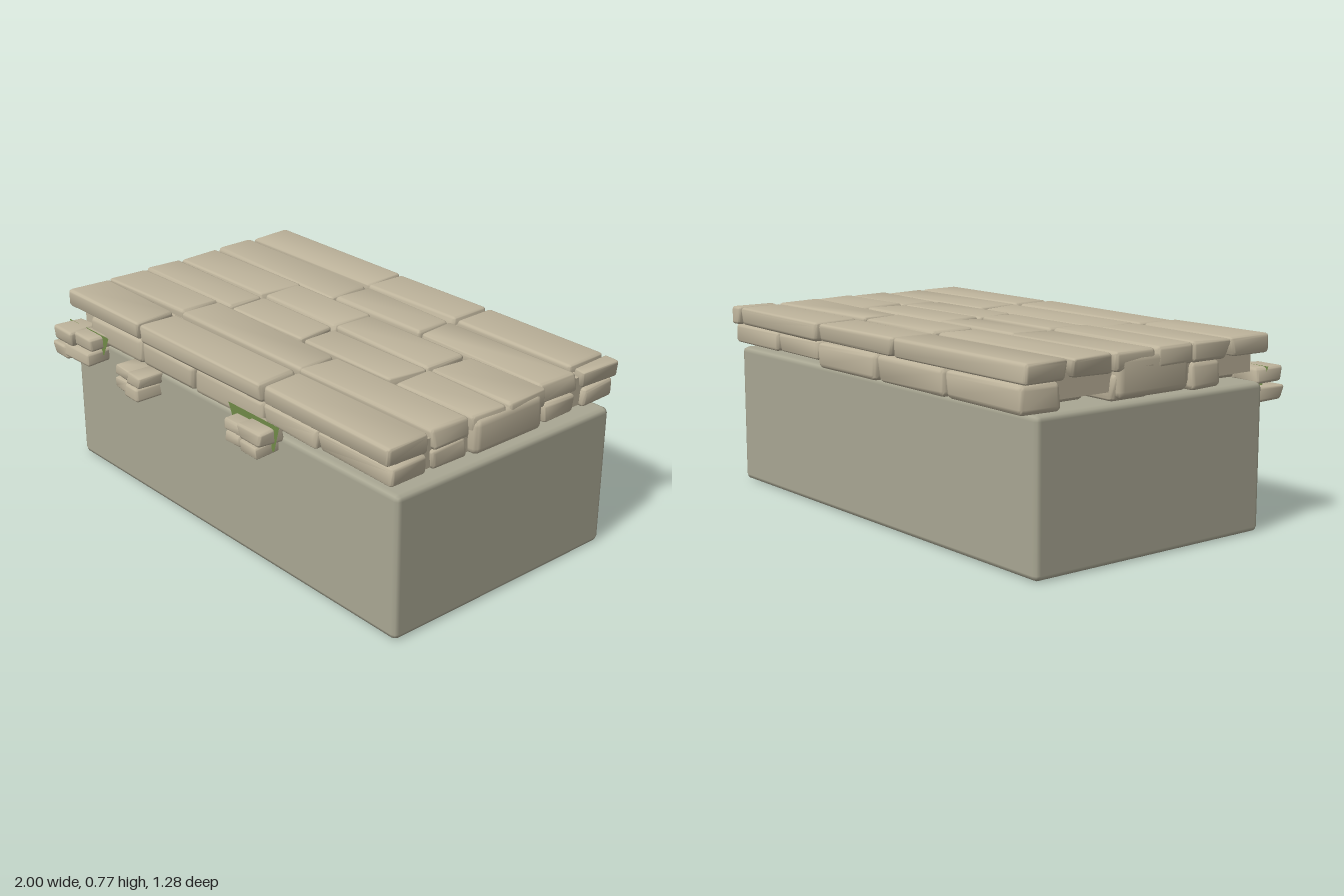
import * as THREE from 'three';
import { RoundedBoxGeometry } from 'three/addons/geometries/RoundedBoxGeometry.js';
import { mergeVertices, toCreasedNormals } from 'three/addons/utils/BufferGeometryUtils.js';

const stone = new THREE.MeshStandardMaterial({ color: 0xbdb39b });
const baseStone = new THREE.MeshStandardMaterial({ color: 0xa9a793 });
const leafGreen = new THREE.MeshStandardMaterial({ color: 0x6f8a47, side: THREE.DoubleSide });

// Small seeded generator, returning -1..1
let seed = 7;
function rnd() {
  seed = (seed * 16807) % 2147483647;
  return (seed / 2147483647) * 2 - 1;
}

// Worn stone between two corners; its eight corners are shifted a little
function brick(name, x0, x1, y0, y1, z0, z1, wear = 0.014) {
  const w = x1 - x0, h = y1 - y0, d = z1 - z0;
  let geo = new RoundedBoxGeometry(w, h, d, 2, Math.min(w, h, d) * 0.2);
  geo.deleteAttribute('uv');
  geo.deleteAttribute('normal');
  geo = mergeVertices(geo, 1e-4);
  const p = geo.attributes.position;
  const shift = Array.from({ length: 8 }, () => [rnd() * wear, rnd() * wear * 0.25, rnd() * wear * 0.8]);
  for (let i = 0; i < p.count; i++) {
    const t = [p.getX(i) / w + 0.5, p.getY(i) / h + 0.5, p.getZ(i) / d + 0.5];
    const v = [p.getX(i), p.getY(i), p.getZ(i)];
    shift.forEach((s, c) => {
      const k = [1, 2, 4].reduce((f, bit, a) => f * (c & bit ? t[a] : 1 - t[a]), 1);
      s.forEach((o, a) => { v[a] += o * k; });
    });
    p.setXYZ(i, ...v);
  }
  const mesh = new THREE.Mesh(toCreasedNormals(geo, 0.75), stone);
  mesh.position.set((x0 + x1) / 2, (y0 + y1) / 2, (z0 + z1) / 2);
  mesh.name = name;
  return mesh;
}

// Flat leaf patch in a vertical plane
function leaf(points, z) {
  const shape = new THREE.Shape(points.map(([x, y]) => new THREE.Vector2(x, y)));
  const mesh = new THREE.Mesh(new THREE.ShapeGeometry(shape), leafGreen);
  mesh.position.z = z;
  mesh.name = 'leafPatch';
  return mesh;
}

export function createModel() {
  seed = 7;
  const model = new THREE.Group();
  model.name = 'stonePlatform';

  // Bevelled foundation block
  const base = new THREE.Mesh(new RoundedBoxGeometry(1.99, 0.582, 1.105, 1, 0.022), baseStone);
  base.position.set(0, 0.291, -0.033);
  base.name = 'foundation';
  model.add(base);

  // Paving: each row is z range, then the joints of its slabs along x
  const rows = [
    [-0.64, -0.445, [-0.99, -0.21, 0.3, 0.92, 0.99]],
    [-0.42, -0.235, [-0.99, -0.19, 0.305, 0.97]],
    [-0.23, -0.035, [-0.99, -0.405, 0.045, 0.585, 0.99]],
    [-0.025, 0.145, [-0.99, -0.395, 0.05, 0.57, 0.99]],
    [0.155, 0.335, [-0.99, -0.48, 0.27, 0.98]],
    [0.355, 0.54, [-0.99, -0.485, 0.28, 0.98]],
  ];
  const paving = new THREE.Group();
  paving.name = 'pavingSlabs';
  for (const [z0, z1, xs] of rows) {
    for (let i = 0; i < xs.length - 1; i++) {
      paving.add(brick('pavingSlab', xs[i], xs[i + 1] - 0.012, 0.688, 0.764, z0, z1));
    }
  }
  model.add(paving);

  // Course below the paving, raised slightly off the base on the left
  const course = new THREE.Group();
  course.name = 'lowerCourse';
  const joints = [
    [-0.97, -0.52, -0.1, 0.31, 0.62, 0.98],
    [-0.86, -0.49, -0.145, 0.285, 0.59, 0.98],
  ];
  rows.forEach(([z0, z1], r) => {
    const xs = joints[r % 2];
    for (let i = 0; i < xs.length - 1; i++) {
      const bottom = xs[i] < 0.28 ? 0.582 : 0.61;
      course.add(brick('courseStone', xs[i], xs[i + 1] - 0.012, bottom, 0.686, z0 + 0.01, z1 - 0.01, 0.01));
    }
  });
  // Tall end stones in the middle of both short sides
  course.add(brick('endStone', 0.85, 0.99, 0.608, 0.75, -0.21, 0.14, 0.004));
  course.add(brick('endStone', -0.99, -0.85, 0.59, 0.75, -0.21, 0.14, 0.004));
  model.add(course);

  // Mortar filling the joints
  const mortar = new THREE.Mesh(new THREE.BoxGeometry(1.9, 0.115, 1.09), stone);
  mortar.position.set(0, 0.675, -0.05);
  mortar.name = 'mortar';
  model.add(mortar);

  // Clusters of stones standing out of the front wall
  const clusters = [
    [[-0.99, -0.9, 0.5, 0.56, 0.64], [-0.93, -0.75, 0.515, 0.57, 0.63],
      [-0.98, -0.86, 0.57, 0.635, 0.635], [-0.87, -0.74, 0.575, 0.63, 0.61]],
    [[-0.58, -0.475, 0.535, 0.58, 0.61], [-0.475, -0.385, 0.535, 0.585, 0.63],
      [-0.565, -0.48, 0.485, 0.535, 0.62], [-0.48, -0.39, 0.48, 0.535, 0.63]],
    [[0.155, 0.25, 0.52, 0.565, 0.62], [0.25, 0.36, 0.515, 0.56, 0.63],
      [0.15, 0.255, 0.565, 0.61, 0.61], [0.24, 0.37, 0.56, 0.62, 0.625]],
  ];
  clusters.forEach((stones) => {
    const cluster = new THREE.Group();
    cluster.name = 'frontStones';
    for (const [x0, x1, y0, y1, z1] of stones) {
      cluster.add(brick('frontStone', x0, x1, y0, y1, 0.5, z1, 0.01));
    }
    model.add(cluster);
  });

  // Leaf patches behind two of the clusters
  model.add(leaf([[-0.99, 0.635], [-0.7, 0.635], [-0.74, 0.55], [-0.93, 0.48]], 0.552));
  model.add(leaf([[0.1, 0.638], [0.4, 0.638], [0.37, 0.53], [0.17, 0.482]], 0.552));

  return model;
}
